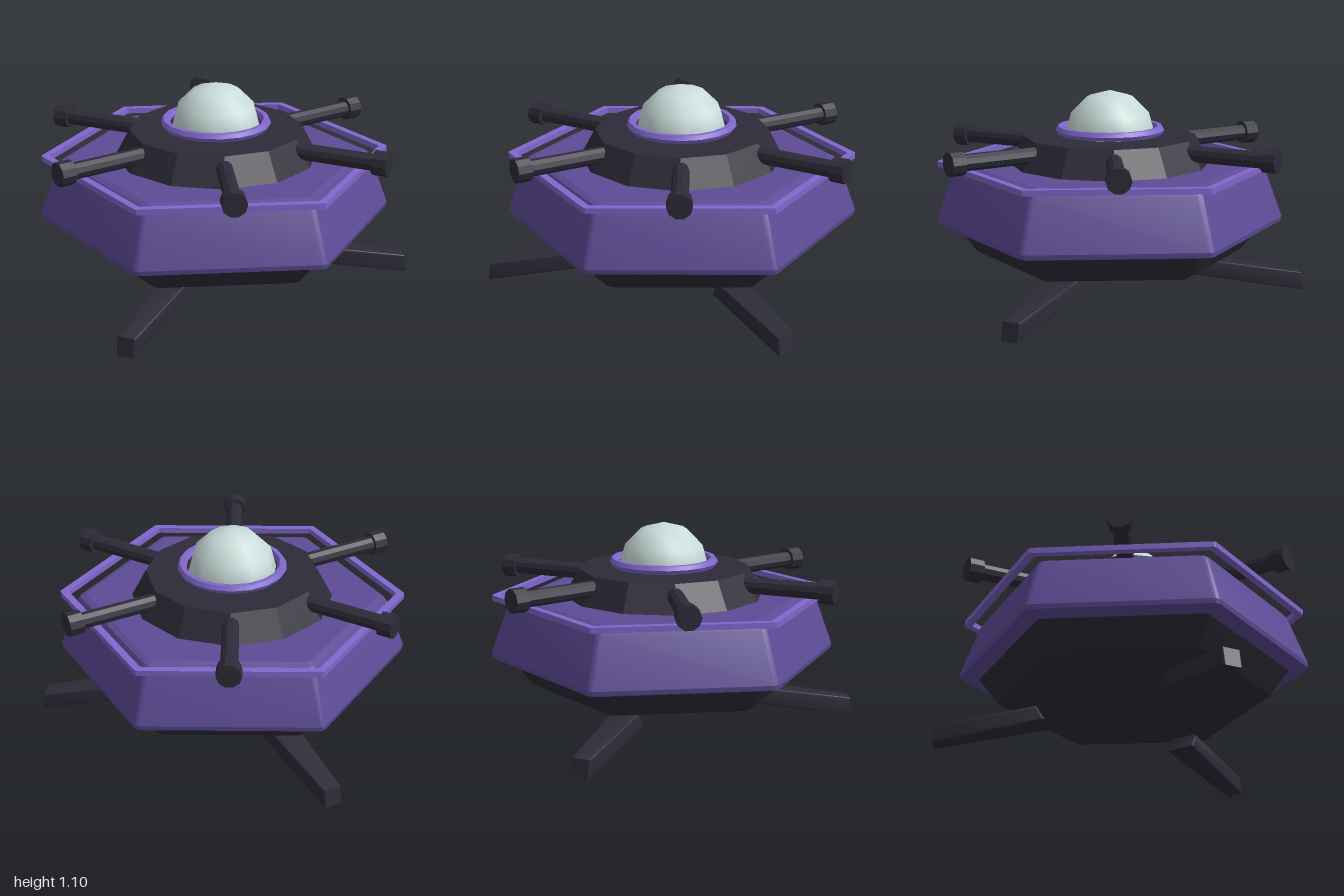
import * as THREE from 'three';
import { toCreasedNormals } from 'three/addons/utils/BufferGeometryUtils.js';

const CENTER_Z = 0.06;

export function createModel() {
  const material = (name, color) => {
    const m = new THREE.MeshStandardMaterial({ color });
    m.name = name;
    return m;
  };
  const purple = material('purple hull', 0x5d4b96);
  const violet = material('violet trim', 0x8067cc);
  const dark = material('dark metal', 0x2c2b38);
  const glass = material('pale glass', 0xc9dcd9);

  const group = new THREE.Group();
  const saucer = new THREE.Group();
  saucer.name = 'saucer';
  saucer.position.z = CENTER_Z;
  group.add(saucer);

  const add = (name, geometry, mat, parent = saucer) => {
    const mesh = new THREE.Mesh(geometry, mat);
    mesh.name = name;
    parent.add(mesh);
    return mesh;
  };

  // Six-sided lathe with softened corners; profile is [corner radius, y] from bottom to top
  const hexLathe = (profile, corner) => {
    const geo = new THREE.LatheGeometry(profile.map(([r, y]) => new THREE.Vector2(r, y)), 24);
    const pos = geo.attributes.position;
    const inset = 1 - corner / Math.cos(Math.PI / 6);
    for (let i = 0; i <= 24; i++) {
      const a = Math.floor(i / 4) * Math.PI / 3;
      const b = a + ((i % 4) - 1.5) * Math.PI / 9;
      profile.forEach(([r, y], j) => pos.setXYZ(i * profile.length + j,
        r * (inset * Math.sin(a) + corner * Math.sin(b)), y,
        r * (inset * Math.cos(a) + corner * Math.cos(b))));
    }
    return toCreasedNormals(geo, 0.3);
  };

  // Hull
  add('lowerHull', hexLathe([[0, 0.22], [0.70, 0.22], [0.73, 0.235], [0.845, 0.39]], 0.05), dark);
  add('upperHull', hexLathe([[0, 0.375], [0.91, 0.375], [0.938, 0.385], [0.943, 0.41],
    [0.845, 0.675], [0.825, 0.702], [0.79, 0.715], [0, 0.715]], 0.05), purple);
  add('rimRing', hexLathe([[0.882, 0.70], [0.927, 0.70], [0.927, 0.73],
    [0.882, 0.73], [0.882, 0.70]], 0.02), violet);

  // Turret, dome and dome ring
  const turret = toCreasedNormals(new THREE.CylinderGeometry(0.46, 0.54, 0.15, 12), 0.3);
  add('turret', turret, dark).position.y = 0.787;
  const dome = new THREE.SphereGeometry(0.241, 10, 3, 0, Math.PI * 2, 0, Math.PI / 2);
  dome.rotateY(Math.PI / 2);
  add('dome', dome, glass).position.y = 0.865;
  const domeRing = new THREE.TorusGeometry(0.268, 0.025, 6, 18);
  domeRing.rotateX(Math.PI / 2);
  add('domeRing', toCreasedNormals(domeRing, 0.5), violet).position.y = 0.895;

  // Six guns around the turret, pointing along local +x
  const rod = (radius, from, to) => {
    const geo = new THREE.CylinderGeometry(radius, radius, to - from, 10);
    geo.rotateZ(-Math.PI / 2);
    geo.translate((from + to) / 2, 0, 0);
    return toCreasedNormals(geo, 0.3);
  };
  const barrel = rod(0.044, 0.36, 0.90);
  const muzzle = rod(0.064, 0.885, 0.962);
  for (let i = 0; i < 6; i++) {
    const gun = new THREE.Group();
    gun.name = 'gun';
    gun.position.y = 0.80;
    gun.rotation.y = i * Math.PI / 3;
    add('gunBarrel', barrel, dark, gun);
    add('gunMuzzle', muzzle, dark, gun);
    saucer.add(gun);
  }

  // Three sloping legs, tapering in width towards the foot
  const bevel = 0.013;
  const side = new THREE.Shape([[0.475, 0.110], [1.046, 0.014], [1.032, 0.088], [0.512, 0.172]]
    .map(([x, y]) => new THREE.Vector2(x, y)));
  const leg = new THREE.ExtrudeGeometry(side, {
    depth: 1 - 2 * bevel, bevelSize: bevel, bevelThickness: bevel * 6, bevelSegments: 2,
  });
  leg.translate(0, 0, -0.5 + bevel);
  const p = leg.attributes.position;
  for (let i = 0; i < p.count; i++) {
    const t = (p.getX(i) - 0.46) / 0.6;
    p.setZ(i, p.getZ(i) * THREE.MathUtils.lerp(0.145, 0.088, t));
  }
  const legGeometry = toCreasedNormals(leg, 0.5);
  for (let i = 0; i < 3; i++) {
    add('leg', legGeometry, dark).rotation.y = Math.PI / 2 + i * Math.PI * 2 / 3;
  }

  return group;
}
